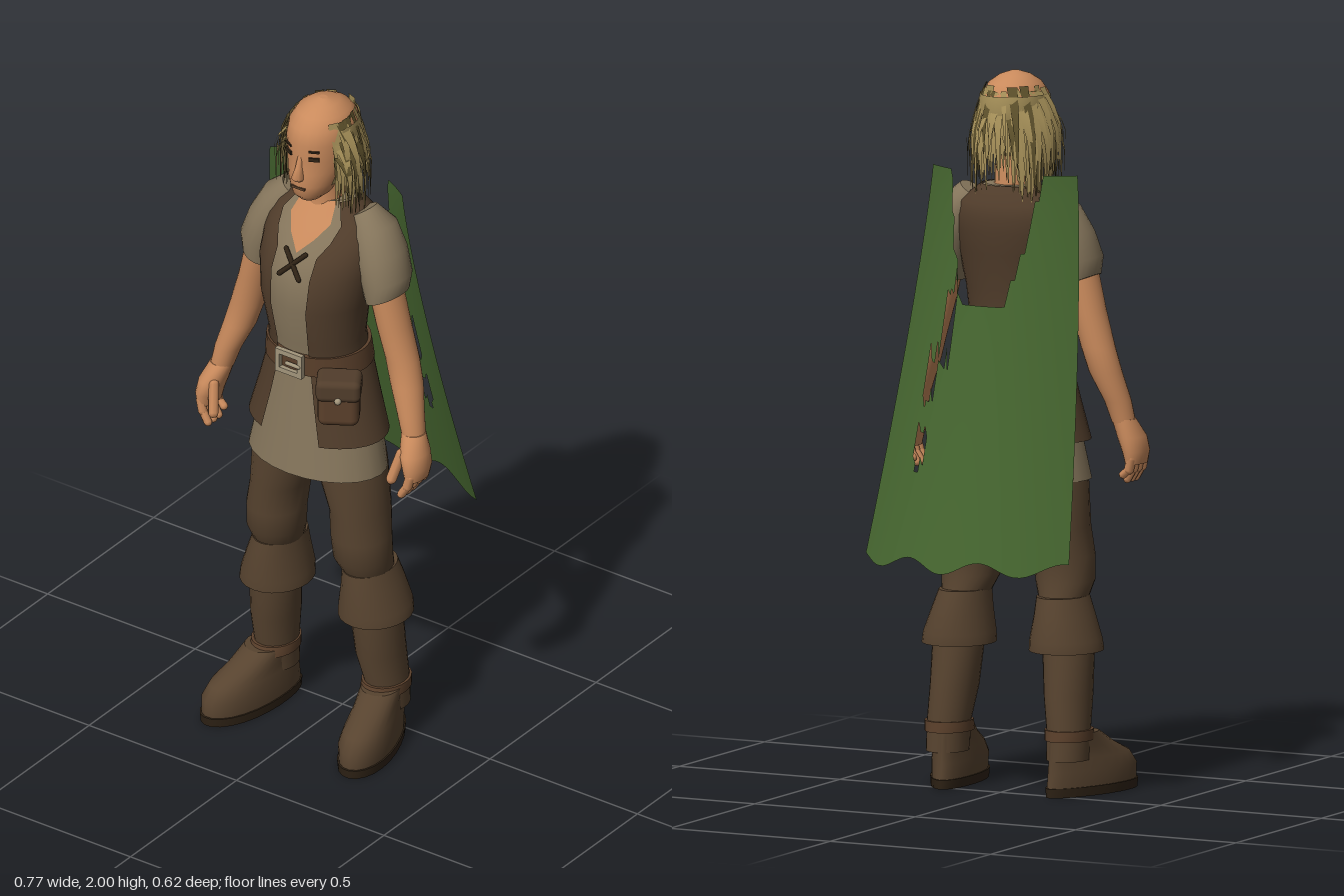
import * as THREE from 'three';
import { RoundedBoxGeometry } from 'three/addons/geometries/RoundedBoxGeometry.js';

const mat = (name, color) => new THREE.MeshStandardMaterial({ name, color, side: THREE.DoubleSide });
const M = {
  skin: mat('skin', 0xc98a5c), hair: mat('hair', 0xa8925a), darkHair: mat('dark hair', 0x5f522c),
  vest: mat('vest leather', 0x513d2b), shirt: mat('shirt linen', 0x86765c), trousers: mat('trouser cloth', 0x57432f),
  cape: mat('cape green', 0x45652f), belt: mat('belt leather', 0x5b402b), metal: mat('buckle', 0xa3967c), dark: mat('dark leather', 0x2e2215),
};
const TAU = Math.PI * 2;

function add(parent, name, geometry, material) {
  const mesh = new THREE.Mesh(geometry, material);
  mesh.name = name;
  parent.add(mesh);
  return mesh;
}

function build(pos, idx) {
  const g = new THREE.BufferGeometry();
  g.setAttribute('position', new THREE.Float32BufferAttribute(pos, 3));
  g.setIndex(idx);
  g.computeVertexNormals();
  return g;
}

// Lofts oval rings [y, x0, x1, z0, z1] from bottom to top; angle 0 is the front.
// arc(y) limits the swept angles, slope tips rings sideways, flare widens the front.
function loft(rings, { n = 24, arc = null, caps = !arc, slope = 0, flare = 0 } = {}) {
  const pos = [], idx = [], cols = arc ? n + 1 : n;
  const point = ([y, x0, x1, z0, z1], j) => {
    const [a0, a1] = arc ? arc(y) : [0, TAU];
    const a = a0 + (a1 - a0) * j / n, s = Math.sin(a), c = Math.cos(a);
    return [(x0 + x1) / 2 + (x1 - x0) / 2 * s * (1 + flare * c), y + slope * s, (z0 + z1) / 2 + (z1 - z0) / 2 * c];
  };
  rings.forEach((r) => { for (let j = 0; j < cols; j++) pos.push(...point(r, j)); });
  for (let i = 0; i < rings.length - 1; i++) for (let j = 0; j < n; j++) {
    const a = i * cols + j, b = i * cols + (j + 1) % cols, c = b + cols, d = a + cols;
    idx.push(a, b, c, a, c, d);
  }
  if (caps) [rings[0], rings.at(-1)].forEach((r, top) => {
    const base = pos.length / 3;
    pos.push((r[1] + r[2]) / 2, r[0], (r[3] + r[4]) / 2);
    for (let j = 0; j < n; j++) pos.push(...point(r, j));
    for (let j = 0; j < n; j++) {
      const p = base + 1 + j, q = base + 1 + (j + 1) % n;
      idx.push(base, top ? p : q, top ? q : p);
    }
  });
  return build(pos, idx);
}
const grow = (rings, d) => rings.map(([y, a, b, c, e]) => [y, a - d, b + d, c - d, e + d]);
const sided = (rings, s) => (s > 0 ? rings : rings.map(([y, a, b, c, e]) => [y, -b, -a, c, e]));
const wide = (rows) => rows.map(([y, x, z0, z1]) => [y, -x, x, z0, z1]);

function rod(parent, name, a, b, r, material) {
  const p = new THREE.Vector3(...a), q = new THREE.Vector3(...b), d = q.clone().sub(p);
  const m = add(parent, name, new THREE.CapsuleGeometry(r, d.length(), 3, 8), material);
  m.position.copy(p).lerp(q, 0.5);
  m.quaternion.setFromUnitVectors(new THREE.Vector3(0, 1, 0), d.normalize());
}

function addHead(g) {
  const skull = wide([[1.715, .03, .11, .185], [1.735, .052, .07, .205], [1.77, .069, .04, .21], [1.81, .081, .01, .207],
    [1.85, .089, -.015, .204], [1.9, .093, -.025, .207], [1.94, .088, -.018, .196], [1.97, .07, .005, .17], [1.99, .042, .04, .135], [2, .012, .08, .1]]);
  add(g, 'head', loft(skull), M.skin);
  add(g, 'neck', loft(wide([[1.56, .07, .02, .17], [1.64, .056, .015, .14], [1.7, .05, .02, .13], [1.77, .048, .03, .14]])), M.skin);
  add(g, 'nose', loft(wide([[1.79, .014, .19, .222], [1.8, .018, .19, .232], [1.83, .01, .19, .218], [1.865, .007, .19, .205]]), { n: 8 }), M.skin);
  add(g, 'mouth', new THREE.BoxGeometry(.042, .007, .008), M.belt).position.set(0, 1.765, .208);
  for (const s of [-1, 1]) {
    for (const [name, y, h] of [['eye', 1.862, .011], ['eyebrow', 1.886, .006]]) {
      const m = add(g, name, new THREE.BoxGeometry(.03, h, .008), M.dark);
      m.position.set(s * .042, y, .193);
      m.rotation.y = s * .45;
    }
  }
  add(g, 'hairUnderlayer', loft(grow(skull.slice(2, 7), .006), { arc: () => [1.25, TAU - 1.25] }), M.hair);

  // Ragged hanging strands round the sides and back
  let seed = 7;
  const rnd = () => (seed = (seed * 16807) % 2147483647) / 2147483647;
  const sets = [{ pos: [], idx: [] }, { pos: [], idx: [] }];
  for (let k = 0; k < 190; k++) {
    const { pos, idx } = sets[k % 4 === 3 ? 1 : 0];
    const a0 = 1.05 + rnd() * (TAU - 2.1), a = Math.min(a0, TAU - a0);
    const back = Math.abs(a - 2.1), y0 = 1.86 + rnd() * .11;
    const y1 = 1.67 + back * .07 + (rnd() - .4) * .1, puff = .4 + rnd() * .75, w = .007 + rnd() * .009;
    const first = pos.length / 3, twist = (rnd() - .5) * .3;
    for (let i = 0; i <= 4; i++) {
      const t = i / 4, out = Math.sin(Math.min(1, t * 1.4 + (1.97 - y0) * 3) * Math.PI / 2) * puff;
      const rx = .078 + .056 * out, rz = .1 + .03 * out, aa = a0 + twist * t;
      const x = rx * Math.sin(aa), z = .09 + rz * Math.cos(aa), y = y0 + (y1 - y0) * t;
      const half = w * (1.1 - t), tx = Math.cos(aa) * half, tz = -Math.sin(aa) * half;
      pos.push(x - tx, y, z - tz, x + tx, y, z + tz);
      const b = first + i * 2;
      if (i < 4) idx.push(b, b + 3, b + 1, b, b + 2, b + 3);
    }
  }
  sets.forEach((s, i) => add(g, i ? 'darkHairStrands' : 'hairStrands', build(s.pos, s.idx), i ? M.darkHair : M.hair));
}

function addTorso(g) {
  const torso = wide([[1.18, .14, -.015, .225], [1.28, .13, 0, .235], [1.4, .148, -.005, .258], [1.5, .163, -.025, .248],
    [1.56, .166, -.033, .215], [1.6, .162, -.035, .188], [1.64, .142, -.03, .158], [1.69, .075, 0, .12]]);
  add(g, 'shirt', loft(torso), M.shirt);
  add(g, 'openNeck', loft(grow(torso.slice(4), .003), { n: 10, arc: (y) => [-(y - 1.56) * 6, (y - 1.56) * 6] }), M.skin);
  const open = (y) => .38 + Math.max(0, y - 1.56) * 4;
  add(g, 'vest', loft(grow(torso, .009), { n: 36, arc: (y) => [open(y), TAU - open(y)] }), M.vest);
  for (const s of [-1, 1]) rod(g, 'lacing', [-s * .033, 1.5, .253], [s * .033, 1.565, .22], .007, M.dark);

  // Tunic skirt, split vest skirt and belt
  const skirt = wide([[.87, .213, -.03, .258], [1, .185, -.03, .245], [1.1, .16, -.022, .235], [1.2, .138, -.015, .225]]);
  add(g, 'tunicSkirt', loft(skirt, { caps: false }), M.shirt);
  add(g, 'vestSkirt', loft(grow(wide([[.98, .2, -.03, .25], ...[[1.1, .165, -.022, .236], [1.2, .138, -.015, .225]]]), .012),
    { n: 36, arc: (y) => [.38 + (1.2 - y) * .4, TAU - .38 - (1.2 - y) * .5] }), M.vest);
  add(g, 'belt', loft(wide([[1.19, .157, -.032, .245], [1.25, .15, -.025, .247]]), { n: 32 }), M.belt);
  const frame = new THREE.Shape([[-.045, -.036], [.045, -.036], [.045, .036], [-.045, .036]].map((p) => new THREE.Vector2(...p)));
  frame.holes.push(new THREE.Path([[-.03, -.021], [-.03, .021], [.03, .021], [.03, -.021]].map((p) => new THREE.Vector2(...p))));
  add(g, 'buckle', new THREE.ExtrudeGeometry(frame, { depth: .014, bevelEnabled: false }), M.metal).position.set(0, 1.222, .243);
  rod(g, 'bucklePin', [-.005, 1.222, .256], [.035, 1.222, .256], .006, M.metal);

  const pouch = new THREE.Group();
  pouch.name = 'beltPouch';
  add(pouch, 'pouchBag', new RoundedBoxGeometry(.115, .135, .085, 3, .022), M.belt);
  add(pouch, 'pouchFlap', new RoundedBoxGeometry(.125, .065, .097, 3, .018), M.vest).position.y = .045;
  add(pouch, 'pouchButton', new THREE.SphereGeometry(.01, 10, 8), M.metal).position.set(0, .022, .05);
  pouch.position.set(.15, 1.145, .225);
  pouch.rotation.y = .55;
  g.add(pouch);
}

function addArm(g, s) {
  add(g, 'sleeve', loft(sided([[1.43, .155, .262, .005, .15], [1.48, .14, .27, -.005, .155], [1.55, .115, .246, -.015, .15],
    [1.62, .09, .208, -.012, .13], [1.665, .08, .15, .02, .1]], s), { slope: s * .022 }), M.shirt);
  add(g, 'arm', loft(sided([[1.04, .292, .357, .08, .15], [1.1, .272, .347, .068, .147], [1.18, .236, .328, .042, .135],
    [1.25, .214, .31, .035, .128], [1.35, .187, .28, .03, .135], [1.45, .165, .255, .03, .14]], s)), M.skin);
  add(g, 'hand', loft(sided([[.925, .327, .376, .09, .185], [.96, .318, .384, .082, .19], [1, .303, .378, .08, .185], [1.05, .29, .358, .08, .15]], s)), M.skin);
  for (let i = 0; i < 4; i++) {
    const z = .1 + i * .025, tip = i === 0 ? .895 : .88;
    rod(g, 'finger', [s * .355, .94, z], [s * .347, .91, z + .002], .014, M.skin);
    rod(g, 'fingertip', [s * .347, .91, z + .002], [s * .328, tip, z + .004], .012, M.skin);
  }
  rod(g, 'thumb', [s * .318, 1, .165], [s * .302, .925, .19], .015, M.skin);
}

function addLeg(g, s) {
  add(g, 'trouserLeg', loft(sided([[.53, .09, .215, .005, .16], [.59, .065, .228, .02, .193], [.66, .06, .226, .02, .2], [.74, .055, .214, .005, .2],
    [.88, .008, .205, .0, .212], [1.02, .004, .17, 0, .21]], s)), M.trousers);
  add(g, 'bootCuff', loft(sided([[.4, .066, .268, -.04, .188], [.43, .068, .263, -.04, .188], [.5, .08, .238, -.025, .182], [.55, .084, .22, -.01, .175]], s)), M.trousers);
  add(g, 'bootShaft', loft(sided([[.1, .13, .245, -.025, .115], [.18, .128, .245, -.02, .12], [.28, .113, .242, -.015, .148], [.41, .1, .242, 0, .158]], s)), M.trousers);
  add(g, 'ankleStrap', loft(sided([[.155, .122, .252, -.028, .14], [.185, .122, .252, -.026, .13]], s)), M.belt);

  const foot = new THREE.Group();
  foot.name = 'foot';
  add(foot, 'bootFoot', loft(wide([[.025, .066, -.085, .262], [.07, .068, -.08, .262], [.105, .06, -.078, .235], [.135, .055, -.076, .17], [.175, .055, -.073, .1]]), { flare: .2 }), M.trousers);
  add(foot, 'sole', loft(wide([[0, .068, -.088, .265], [.026, .07, -.09, .268]]), { flare: .2 }), M.dark);
  foot.position.set(s * .187, 0, .053);
  foot.rotation.y = s * .22;
  g.add(foot);
}

// Curved cape with a torn neckline, wavy hem and a few square rips
function addCape(g) {
  const nx = 44, ny = 44, pos = [], idx = [];
  const rips = [[.075, .11, 1.2, 1.4], [.115, .155, 1.1, 1.22], [.125, .16, .93, 1.02]];
  for (let i = 0; i <= ny; i++) for (let j = 0; j <= nx; j++) {
    const u = j / nx * 2 - 1, rag = (j * 7 % 5) * .014;
    const tear = Math.abs(u) < .62 ? Math.min(.36, (.62 - Math.abs(u)) * .95 + rag) : 0;
    const top = 1.73 - tear, hem = .665 + .018 * Math.sin(u * 9 + 4);
    const y = top + (hem - top) * i / ny, t = (1.73 - y) / 1.08;
    const edge = .03 - .23 * t ** 1.35, mid = -.05 - .26 * t ** 1.25;
    pos.push(u * (.225 + .093 * t), y, mid + (edge - mid) * u * u);
  }
  for (let i = 0; i < ny; i++) for (let j = 0; j < nx; j++) {
    const a = i * (nx + 1) + j, d = a + nx + 1, x = pos[a * 3], y = pos[a * 3 + 1];
    if (rips.some(([x0, x1, y0, y1]) => x > x0 && x < x1 && y > y0 && y < y1)) continue;
    idx.push(a, a + 1, d + 1, a, d + 1, d);
  }
  add(g, 'cape', build(pos, idx), M.cape);
}

export function createModel() {
  const g = new THREE.Group();
  g.name = 'cloakedTraveller';
  addHead(g);
  addTorso(g);
  for (const s of [-1, 1]) {
    const arm = new THREE.Group(), leg = new THREE.Group();
    arm.name = s > 0 ? 'leftArm' : 'rightArm';
    leg.name = s > 0 ? 'leftLeg' : 'rightLeg';
    addArm(arm, s);
    addLeg(leg, s);
    g.add(arm, leg);
  }
  addCape(g);
  return g;
}
